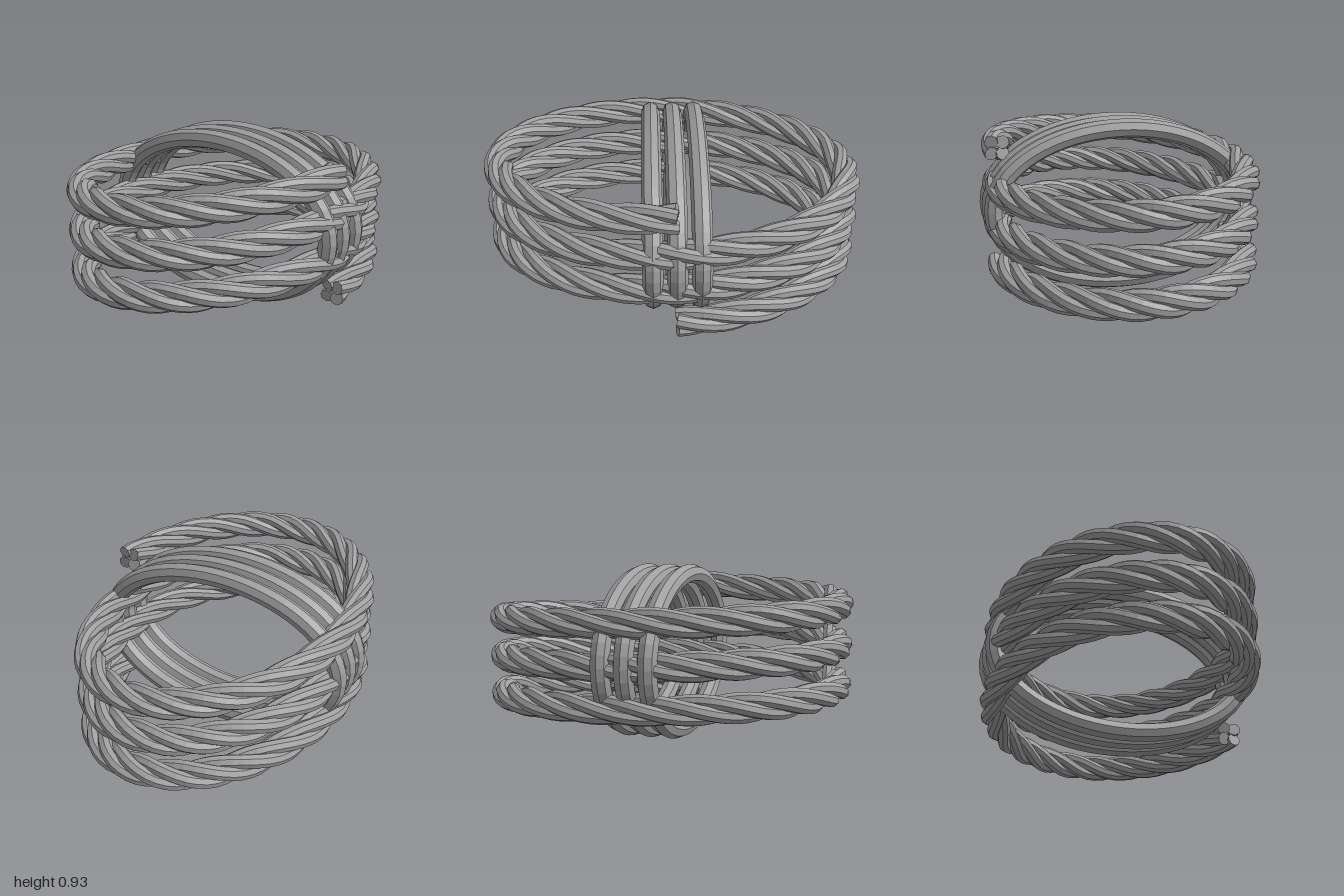
import * as THREE from 'three';

const TURNS = 3, PITCH = 0.21, Y0 = 0.15;   // rope coil
const RX = 0.922, RZ = 0.645;               // coil centre line radii
const STRANDS = 4, TWISTS = 6;              // strands, twists per coil turn
const STRAND_R = 0.036, STRAND_OFFSET = 0.042;

// Centre line of the elliptical coil, starting at the front and rising towards +x
function coilPoint(a) {
  return new THREE.Vector3(RX * Math.sin(a), Y0 + PITCH * a / (2 * Math.PI), RZ * Math.cos(a));
}

// One strand, winding around the coil centre line
class StrandCurve extends THREE.Curve {
  constructor(phase) {
    super();
    this.phase = phase;
    this.arcLengthDivisions = 1500;
  }
  getPoint(t, target = new THREE.Vector3()) {
    const a = t * TURNS * 2 * Math.PI;
    const tangent = new THREE.Vector3(RX * Math.cos(a), PITCH / (2 * Math.PI), -RZ * Math.sin(a)).normalize();
    const normal = new THREE.Vector3(RZ * Math.sin(a), 0, RX * Math.cos(a)).normalize();
    const binormal = tangent.clone().cross(normal);
    const w = this.phase + a * TWISTS;
    return target.copy(coilPoint(a))
      .addScaledVector(normal, STRAND_OFFSET * Math.cos(w))
      .addScaledVector(binormal, STRAND_OFFSET * Math.sin(w));
  }
}

// Closed ellipse in the y-z plane
class HoopCurve extends THREE.Curve {
  getPoint(t, target = new THREE.Vector3()) {
    const a = t * 2 * Math.PI;
    return target.set(0, 0.412 * Math.sin(a), 0.684 * Math.cos(a));
  }
}

export function createModel() {
  const model = new THREE.Group();
  const grey = new THREE.MeshStandardMaterial({ color: 0xa0a0a0, flatShading: true });
  grey.name = 'grey';

  // Twisted rope with capped strands
  const rope = new THREE.Group();
  rope.name = 'ropeCoil';
  for (let i = 0; i < STRANDS; i++) {
    const curve = new StrandCurve(i / STRANDS * 2 * Math.PI + Math.PI / 4);
    const strand = new THREE.Mesh(new THREE.TubeGeometry(curve, 330, STRAND_R, 8, false), grey);
    strand.name = 'strand' + (i + 1);
    rope.add(strand);
    for (const end of [0, 1]) {
      const cap = new THREE.Mesh(new THREE.CircleGeometry(STRAND_R, 8), grey);
      cap.name = 'strandCap';
      cap.position.copy(curve.getPoint(end));
      const out = curve.getTangent(end).multiplyScalar(end ? 1 : -1);
      cap.quaternion.setFromUnitVectors(new THREE.Vector3(0, 0, 1), out);
      rope.add(cap);
    }
  }
  model.add(rope);

  // Three upright hoops binding the coil
  const hoopGeometry = new THREE.TubeGeometry(new HoopCurve(), 64, 0.051, 8, true);
  [-0.12, 0, 0.12].forEach((x, i) => {
    const hoop = new THREE.Mesh(hoopGeometry, grey);
    hoop.name = 'hoop' + (i + 1);
    hoop.position.set(x, 0.465, 0);
    model.add(hoop);
  });

  return model;
}
